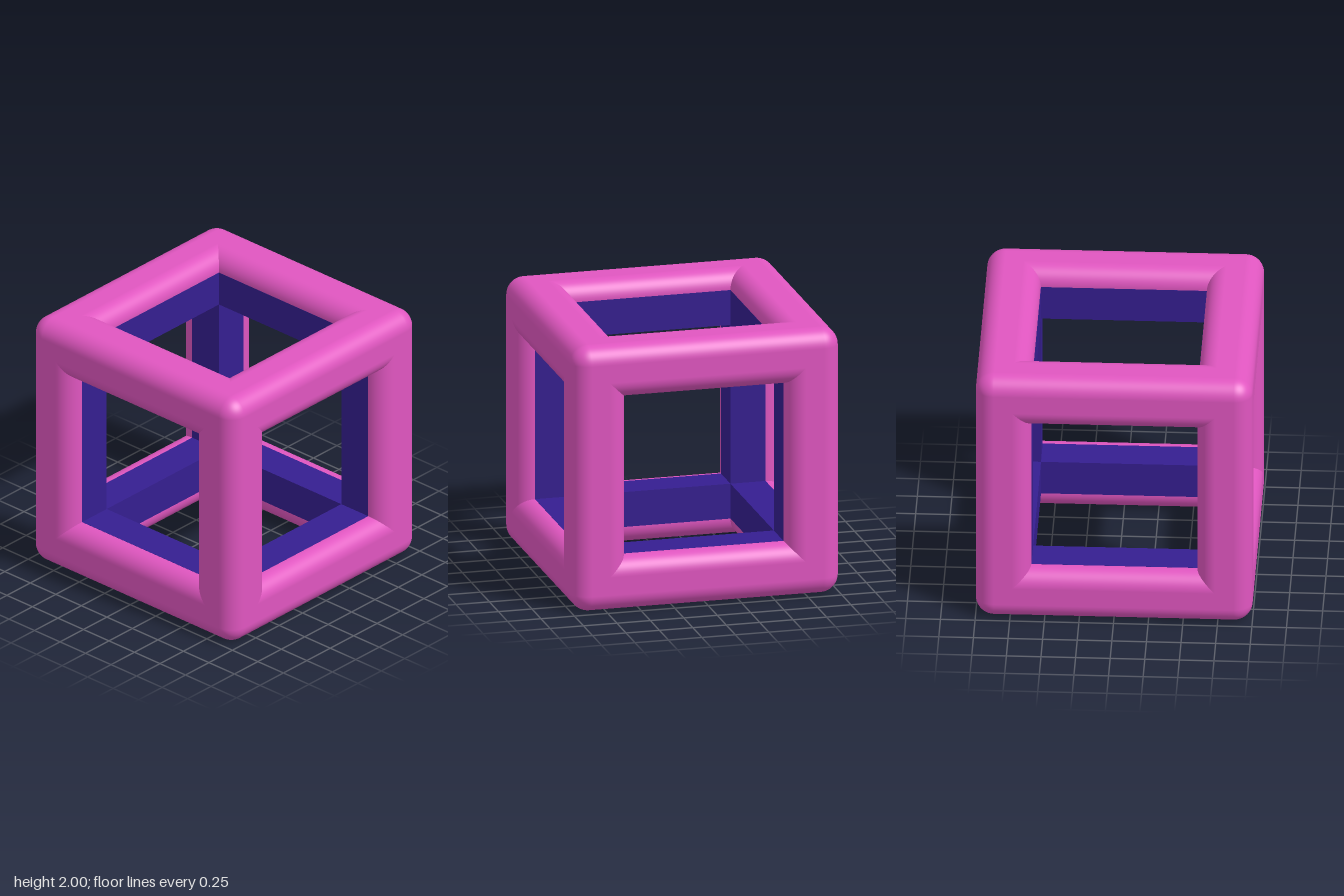
import * as THREE from 'three';
import { RoundedBoxGeometry } from 'three/addons/geometries/RoundedBoxGeometry.js';

const SIZE = 2, BAR = 0.4, RADIUS = 0.133;

export function createModel() {
  const model = new THREE.Group();
  model.name = 'cubeFrame';
  const pink = new THREE.MeshStandardMaterial({ color: 0xe056c0 });
  const blue = new THREE.MeshStandardMaterial({ color: 0x351e90 });

  // Outer bar with rounded edges and ends
  const barGeometry = new RoundedBoxGeometry(BAR, SIZE, BAR, 7, RADIUS);
  // Square lining bar, a hair proud of the inner faces and ending where the rounding starts
  const inner = 0.599, outer = 0.862;
  const liningGeometry = new THREE.BoxGeometry(outer - inner, outer * 2, outer - inner);

  const barAt = SIZE / 2 - BAR / 2, liningAt = (inner + outer) / 2;

  // Four parallel bars along each axis make the twelve edges of the cube
  const rotations = { x: [0, 0, Math.PI / 2], y: [0, 0, 0], z: [Math.PI / 2, 0, 0] };
  for (const [axis, rotation] of Object.entries(rotations)) {
    const [u, v] = ['x', 'y', 'z'].filter((a) => a !== axis);
    for (const su of [-1, 1]) {
      for (const sv of [-1, 1]) {
        const edge = new THREE.Group();
        edge.name = `${axis}Edge`;
        const add = (name, geometry, material, offset) => {
          const mesh = new THREE.Mesh(geometry, material);
          mesh.name = name;
          mesh.rotation.set(...rotation);
          mesh.position[u] = su * offset;
          mesh.position[v] = sv * offset;
          edge.add(mesh);
        };
        add('roundedBar', barGeometry, pink, barAt);
        add('innerLining', liningGeometry, blue, liningAt);
        edge.position.y = SIZE / 2;
        model.add(edge);
      }
    }
  }
  return model;
}
